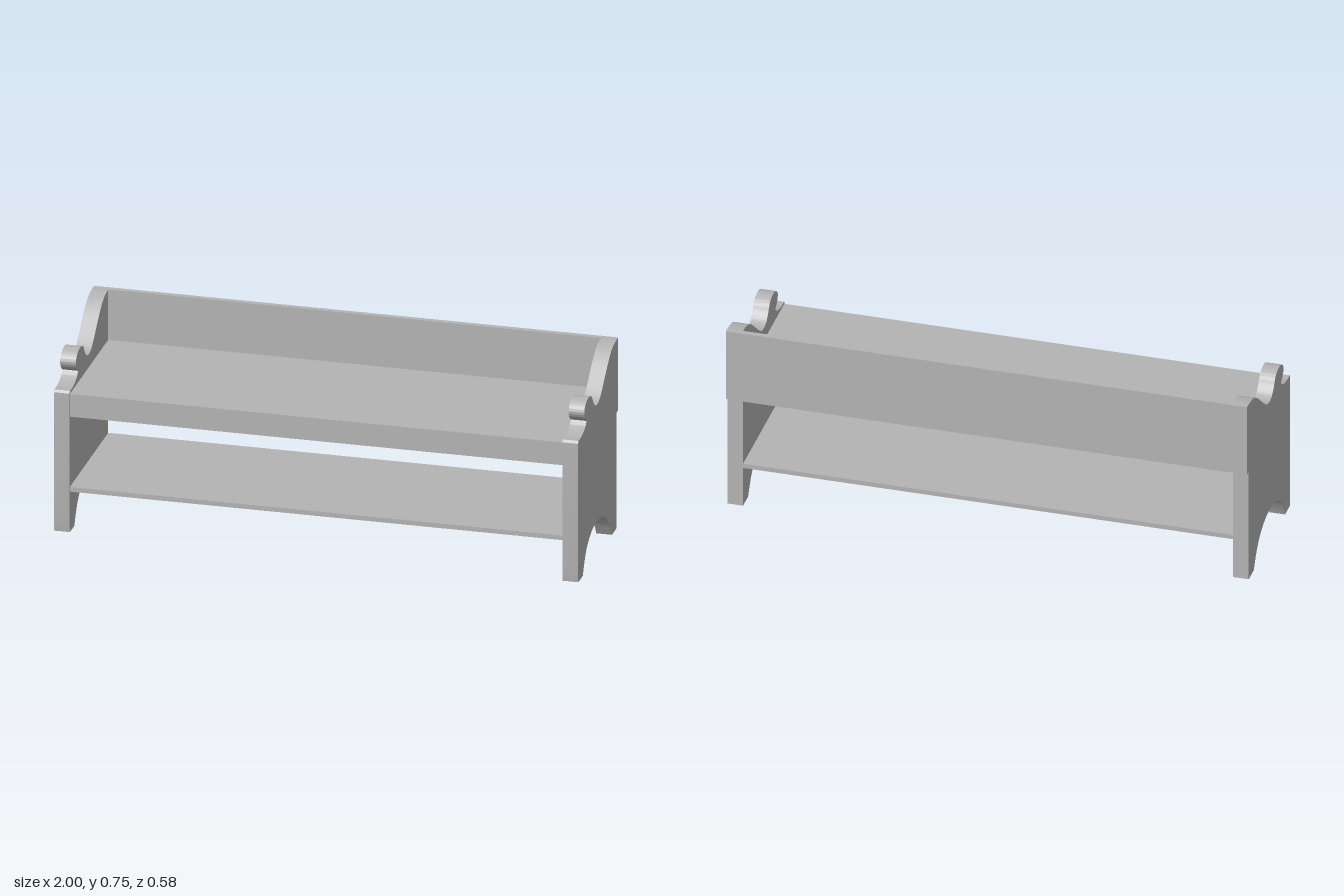
import * as THREE from 'three';
import { toCreasedNormals } from 'three/addons/utils/BufferGeometryUtils.js';

const FRONT = 0.29, BACK = -0.268, INNER = 0.94;

export function createModel() {
  const bench = new THREE.Group();
  bench.name = 'bench';
  const wood = new THREE.MeshStandardMaterial({ color: 0xb3b3b3 });
  wood.name = 'plain grey';

  // Plank given by its limits on each axis
  function plank(name, x, [y0, y1], [z0, z1]) {
    const mesh = new THREE.Mesh(new THREE.BoxGeometry(2 * x, y1 - y0, z1 - z0), wood);
    mesh.position.set(0, (y0 + y1) / 2, (z0 + z1) / 2);
    mesh.name = name;
    bench.add(mesh);
  }

  // Scrolled end panel, outlined as (z, y) and mirrored into the shape plane
  const v = (z, y) => new THREE.Vector2(-z, y);
  const outline = new THREE.Shape();
  outline.moveTo(-0.285, 0);
  outline.lineTo(-0.22, 0);
  // foot arch
  outline.splineThru([v(0.2, 0.04), v(0.165, 0.087), v(0.105, 0.123), v(0.05, 0.137),
    v(-0.02, 0.136), v(-0.075, 0.122), v(-0.125, 0.095), v(-0.165, 0.056), v(-0.2, 0)]);
  outline.lineTo(-BACK, 0);
  outline.lineTo(-BACK, 0.749);
  // arm sweep and rounded knob
  outline.splineThru([v(-0.235, 0.746), v(-0.195, 0.736), v(-0.15, 0.709), v(-0.1, 0.668),
    v(-0.05, 0.627), v(-0.02, 0.608), v(0.015, 0.602), v(0.045, 0.61), v(0.07, 0.633),
    v(0.088, 0.659), v(0.11, 0.672), v(0.14, 0.677), v(0.172, 0.67), v(0.194, 0.652),
    v(0.199, 0.634), v(0.188, 0.613), v(0.166, 0.595)]);
  // lower curl running to the front corner
  outline.splineThru([v(0.181, 0.58), v(0.21, 0.568), v(0.25, 0.561), v(0.283, 0.561)]);
  outline.lineTo(-FRONT, 0.552);
  outline.lineTo(-FRONT, 0.04);
  outline.closePath();

  const extruded = new THREE.ExtrudeGeometry(outline, {
    depth: 1 - INNER, bevelEnabled: false, curveSegments: 40,
  });
  extruded.rotateY(Math.PI / 2);
  const panel = toCreasedNormals(extruded, 0.5);
  for (const [name, x] of [['leftEndPanel', INNER], ['rightEndPanel', -1]]) {
    const mesh = new THREE.Mesh(panel, wood);
    mesh.position.x = x;
    mesh.name = name;
    bench.add(mesh);
  }

  // Boards joining the ends
  plank('backBoard', 1, [0.46, 0.75], [-0.29, BACK]);
  plank('seat', INNER, [0.53, 0.55], [BACK, FRONT - 0.003]);
  plank('frontApron', INNER, [0.46, 0.53], [FRONT - 0.025, FRONT - 0.003]);
  plank('lowerShelf', INNER, [0.162, 0.18], [BACK, FRONT - 0.003]);
  return bench;
}
